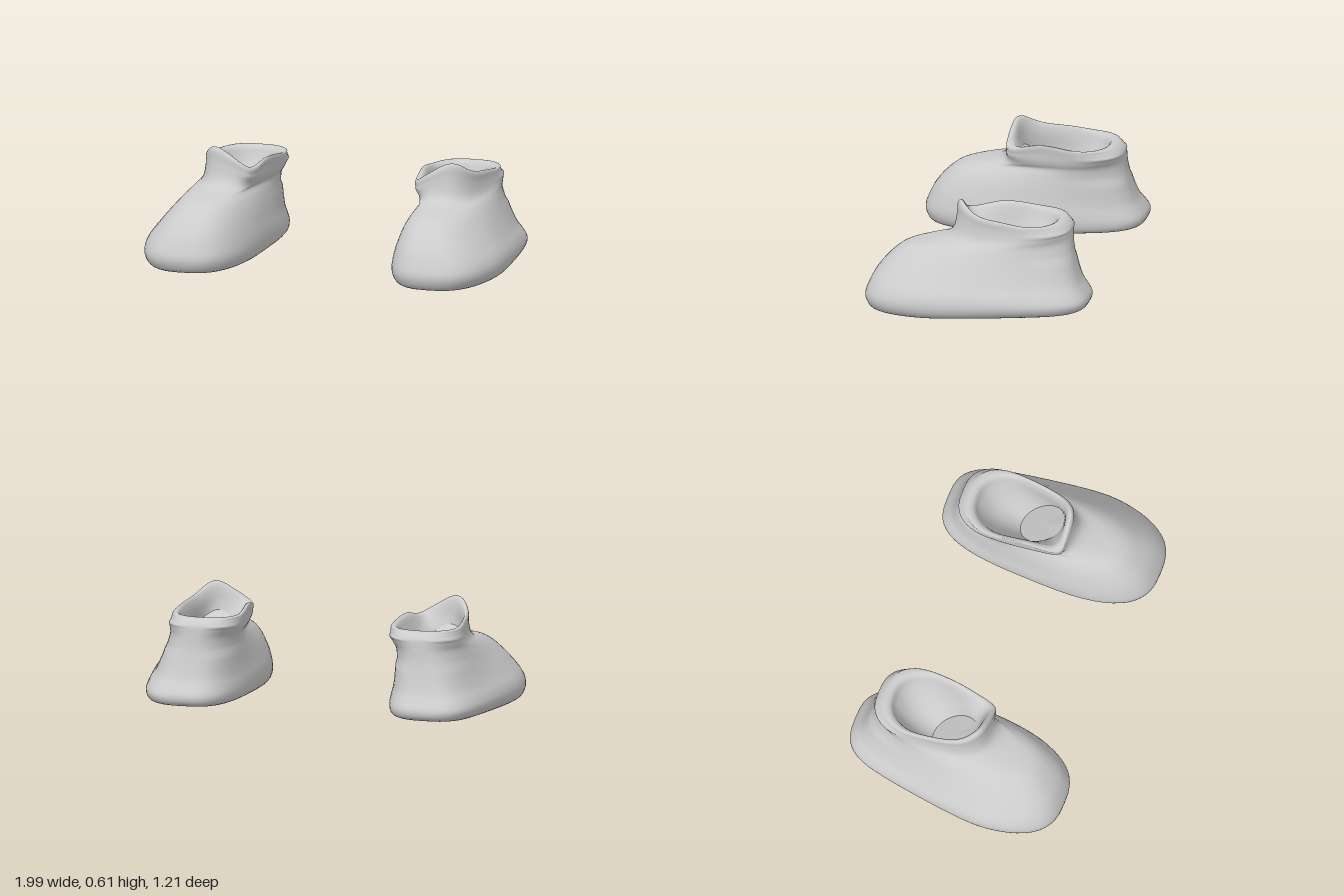
import * as THREE from 'three';

const SIDES = 56;
const STEPS = 3;
const { lerp, smoothstep } = THREE.MathUtils;

// Ring columns: y back, y front, z back, z front,
// heel inner x, heel outer x, toe inner x, toe outer x, roundness
const OUTER = [
  [0.055, 0.0, -0.5, 0.46, 0.5, 0.85, 0.5, 0.9, 0.72],
  [0.066, 0.012, -0.56, 0.56, 0.45, 0.895, 0.44, 0.955, 0.72],
  [0.085, 0.04, -0.597, 0.592, 0.42, 0.925, 0.41, 0.99, 0.72],
  [0.125, 0.09, -0.606, 0.604, 0.41, 0.94, 0.4, 1.003, 0.72],
  [0.17, 0.15, -0.58, 0.583, 0.413, 0.925, 0.403, 0.99, 0.74],
  [0.215, 0.22, -0.553, 0.545, 0.422, 0.895, 0.417, 0.945, 0.76],
  [0.3, 0.295, -0.525, 0.478, 0.428, 0.86, 0.44, 0.885, 0.78],
  [0.375, 0.343, -0.508, 0.415, 0.428, 0.84, 0.465, 0.84, 0.82],
  [0.425, 0.373, -0.503, 0.33, 0.422, 0.828, 0.48, 0.81, 0.87],
  [0.455, 0.397, -0.5, 0.21, 0.415, 0.822, 0.455, 0.795, 0.84],
  [0.475, 0.437, -0.498, 0.155, 0.41, 0.818, 0.44, 0.785, 0.8],
  [0.497, 0.495, -0.492, 0.132, 0.405, 0.812, 0.435, 0.78, 0.8],
];
const LINING = [
  [0.52, 0.535, -0.47, 0.128, 0.405, 0.807, 0.43, 0.78, 0.8],
  [0.532, 0.553, -0.44, 0.112, 0.412, 0.797, 0.435, 0.77, 0.8],
  [0.518, 0.542, -0.41, 0.095, 0.432, 0.78, 0.455, 0.758, 0.85],
  [0.45, 0.515, -0.385, 0.085, 0.45, 0.768, 0.47, 0.75, 0.88],
  [0.35, 0.49, -0.31, 0.08, 0.48, 0.76, 0.49, 0.75, 0.95],
  [0.24, 0.455, -0.17, 0.07, 0.53, 0.75, 0.53, 0.75, 1],
];
const LEVELS = [...OUTER, ...LINING];

// Smooth in-between rings
function refine(levels) {
  const out = [];
  const at = (i) => levels[Math.min(Math.max(i, 0), levels.length - 1)];
  for (let i = 0; i < levels.length - 1; i++) {
    for (let s = 0; s < STEPS; s++) {
      const t = s / STEPS;
      out.push(levels[i].map((b, c) => {
        const a = at(i - 1)[c], d = at(i + 1)[c], e = at(i + 2)[c];
        return b + 0.5 * t * (d - a + t * (2 * a - 5 * b + 4 * d - e + t * (3 * (b - d) + e - a)));
      }));
    }
  }
  out.push(levels[levels.length - 1]);
  return out;
}

const power = (v, e) => Math.sign(v) * Math.abs(v) ** e;
const bump = (dx, dz, r) => Math.exp(-(dx * dx + dz * dz) / (r * r));

// One rounded ring, with a raised tongue peak and a folded corner at the collar's inner front
function ring([yb, yf, zb, zf, hi, ho, ti, to, round]) {
  const points = [];
  for (let i = 0; i < SIDES; i++) {
    const a = (i / SIDES) * Math.PI * 2;
    const c = Math.cos(a), s = Math.sin(a);
    // The heel end is a little squarer than the toe end
    const e = c < 0 && round < 0.8 ? round - 0.08 : round;
    const f = (power(c, e) + 1) / 2;
    const k = smoothstep(f, 0.15, 0.75);
    const inner = lerp(hi, ti, k), outer = lerp(ho, to, k);
    const x = (inner + outer) / 2 + (outer - inner) / 2 * power(s, e);
    const z = lerp(zb, zf, f);
    const y = lerp(yb, yf, f);
    const collar = smoothstep(y, 0.43, 0.55);
    const corner = smoothstep(y, 0.4, 0.48) * bump(x - 0.47, z - 0.07, 0.075);
    const rise = collar * (0.06 * bump(x - 0.67, z - 0.1, 0.1)
      - 0.045 * bump(x - 0.46, z - 0.06, 0.09) - 0.012 * bump(0, z + 0.3, 0.12));
    points.push(new THREE.Vector3(x - 0.012 * corner, y + rise, z + 0.045 * corner));
  }
  return points;
}

// Skin over a stack of rings, mirrored when side is -1
function skin(rings, side) {
  const position = [], index = [];
  rings.forEach((r) => r.forEach((p) => position.push(p.x * side, p.y, p.z)));
  const tri = (a, b, c) => (side > 0 ? index.push(a, b, c) : index.push(a, c, b));
  for (let j = 0; j < rings.length - 1; j++) {
    for (let i = 0; i < SIDES; i++) {
      const n = (i + 1) % SIDES;
      const a = j * SIDES + i, b = j * SIDES + n;
      tri(a, b, b + SIDES);
      tri(a, b + SIDES, a + SIDES);
    }
  }
  const g = new THREE.BufferGeometry();
  g.setAttribute('position', new THREE.Float32BufferAttribute(position, 3));
  g.setIndex(index);
  g.computeVertexNormals();
  return g;
}

// A ring shrunk to its centre, for closing an end
function centre(points) {
  const m = new THREE.Vector3();
  points.forEach((p) => m.addScaledVector(p, 1 / points.length));
  return points.map(() => m);
}

function createBoot(side, material) {
  const boot = new THREE.Group();
  const add = (name, geometry) => {
    const mesh = new THREE.Mesh(geometry, material);
    mesh.name = name;
    boot.add(mesh);
  };

  // Upper, rolled collar and lining in one skin
  const rings = refine(LEVELS).map(ring);
  add('upperAndLining', skin(rings, side));

  // Flat sole and the end of the foot opening
  const first = rings[0], last = rings[rings.length - 1];
  add('sole', skin([centre(first), first], side));
  add('innerFootbed', skin([last, centre(last)], side));
  return boot;
}

export function createModel() {
  const model = new THREE.Group();
  model.name = 'pairOfBoots';
  const material = new THREE.MeshStandardMaterial({ color: 0xcccccc });
  for (const [name, side] of [['leftBoot', 1], ['rightBoot', -1]]) {
    const boot = createBoot(side, material);
    boot.name = name;
    model.add(boot);
  }
  return model;
}
